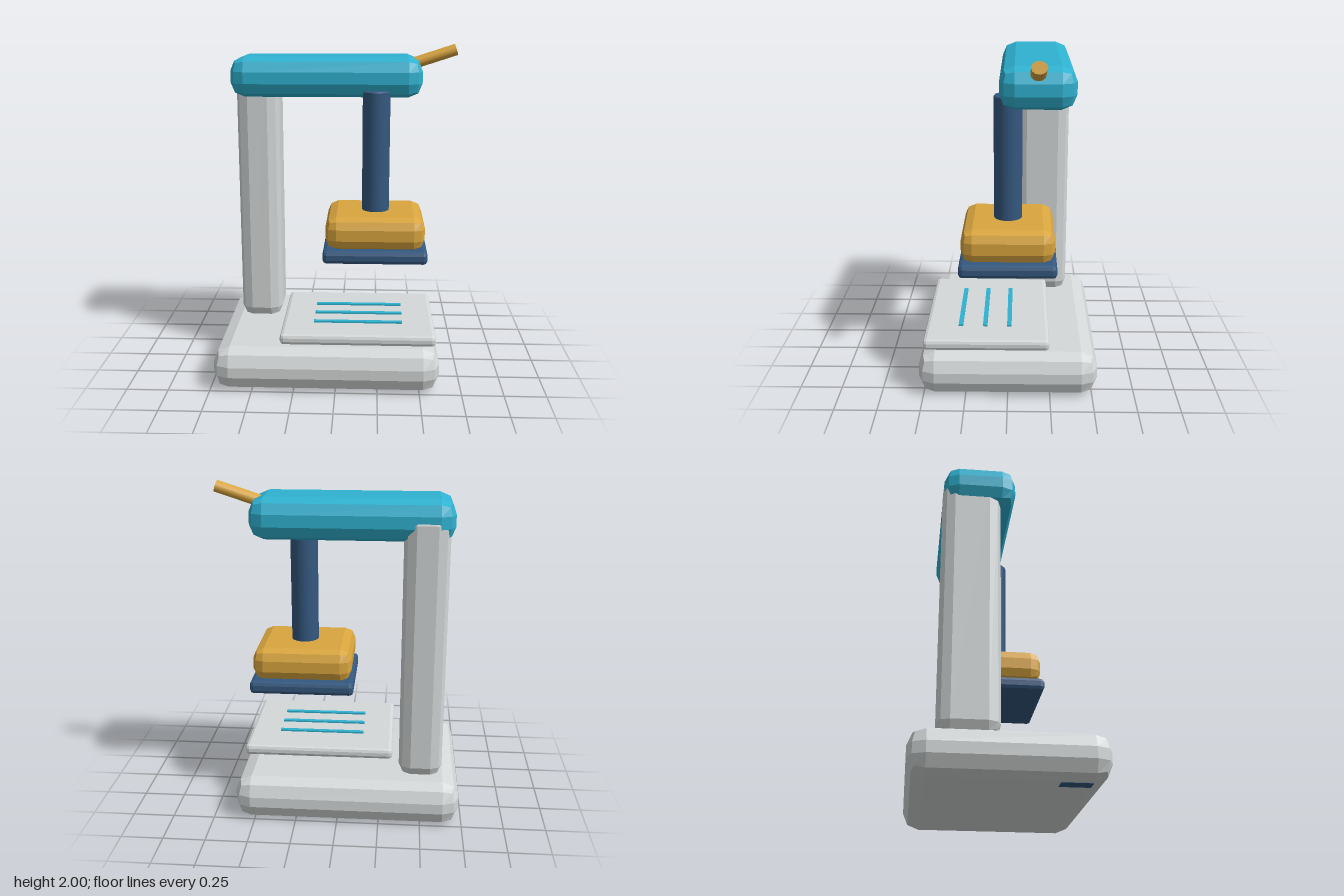
import * as THREE from 'three';
import { RoundedBoxGeometry } from 'three/addons/geometries/RoundedBoxGeometry.js';

function paint(name, color) {
  const m = new THREE.MeshStandardMaterial({ color });
  m.name = name;
  return m;
}

export function createModel() {
  const group = new THREE.Group();
  const grey = paint('lightGrey', 0xd4d8d8);
  const teal = paint('teal', 0x2fb2d1);
  const gold = paint('gold', 0xd9a53e);
  const navy = paint('navy', 0x34587f);

  function add(name, geometry, material, x, y, z) {
    const mesh = new THREE.Mesh(geometry, material);
    mesh.name = name;
    mesh.position.set(x, y, z);
    group.add(mesh);
    return mesh;
  }

  // box given by its x, y and z ranges, with faceted bevelled edges
  function block(name, material, [x0, x1], [y0, y1], [z0, z1], bevel) {
    const g = new RoundedBoxGeometry(x1 - x0, y1 - y0, z1 - z0, 1, bevel);
    g.computeVertexNormals(); // unshared corners give flat facets
    return add(name, g, material, (x0 + x1) / 2, (y0 + y1) / 2, (z0 + z1) / 2);
  }

  // stand
  block('base', grey, [-0.73, 0.618], [0.002, 0.262], [-0.532, 0.53], 0.098);
  block('column', grey, [-0.627, -0.367], [0.25, 1.865], [-0.383, -0.04], 0.07);
  block('arm', teal, [-0.652, 0.506], [1.69, 1.93], [-0.379, 0.048], 0.085);

  // work table with three raised guide lines
  block('table', grey, [-0.326, 0.592], [0.298, 0.364], [-0.245, 0.494], 0.022);
  for (const z of [-0.008, 0.137, 0.283]) {
    add('guideLine', new THREE.BoxGeometry(0.535, 0.02, 0.027), teal, 0.132, 0.364, z);
  }

  // pressing head: shaft with softened rims, block and plate
  const rim = [[0, 0], [0.076, 0], [0.083, 0.008], [0.083, 0.809], [0.076, 0.817], [0, 0.817]];
  const half = rim.slice(1, -1);
  const tube = new THREE.CylinderGeometry(0.083, 0.083, half[2][1] - half[1][1], 24, 1, true);
  const shaft = new THREE.Group();
  shaft.name = 'shaft';
  shaft.position.set(0.231, 0.92, 0.002);
  const side = new THREE.Mesh(tube, navy);
  side.name = 'shaftSide';
  side.position.y = 0.4085;
  const cap = new THREE.Mesh(
    new THREE.LatheGeometry(rim.slice(3).map(([r, y]) => new THREE.Vector2(r, y)), 24), navy);
  cap.name = 'shaftCap';
  shaft.add(side, cap);
  group.add(shaft);
  block('headBlock', gold, [-0.069, 0.527], [0.805, 1.005], [-0.27, 0.27], 0.066);
  block('pressPlate', navy, [-0.084, 0.544], [0.73, 0.81], [-0.284, 0.284], 0.024);

  // slanted lever at the end of the arm, slightly flattened
  const lever = add('lever', new THREE.CylinderGeometry(0.044, 0.044, 0.36, 12), gold, 0.541, 1.911, -0.165);
  lever.rotation.z = THREE.MathUtils.degToRad(18 - 90);
  lever.scale.x = 0.8;

  // small plate under the base
  add('undersidePlate', new THREE.BoxGeometry(0.085, 0.009, 0.17), navy, -0.58, 0.0045, 0.345);

  return group;
}
